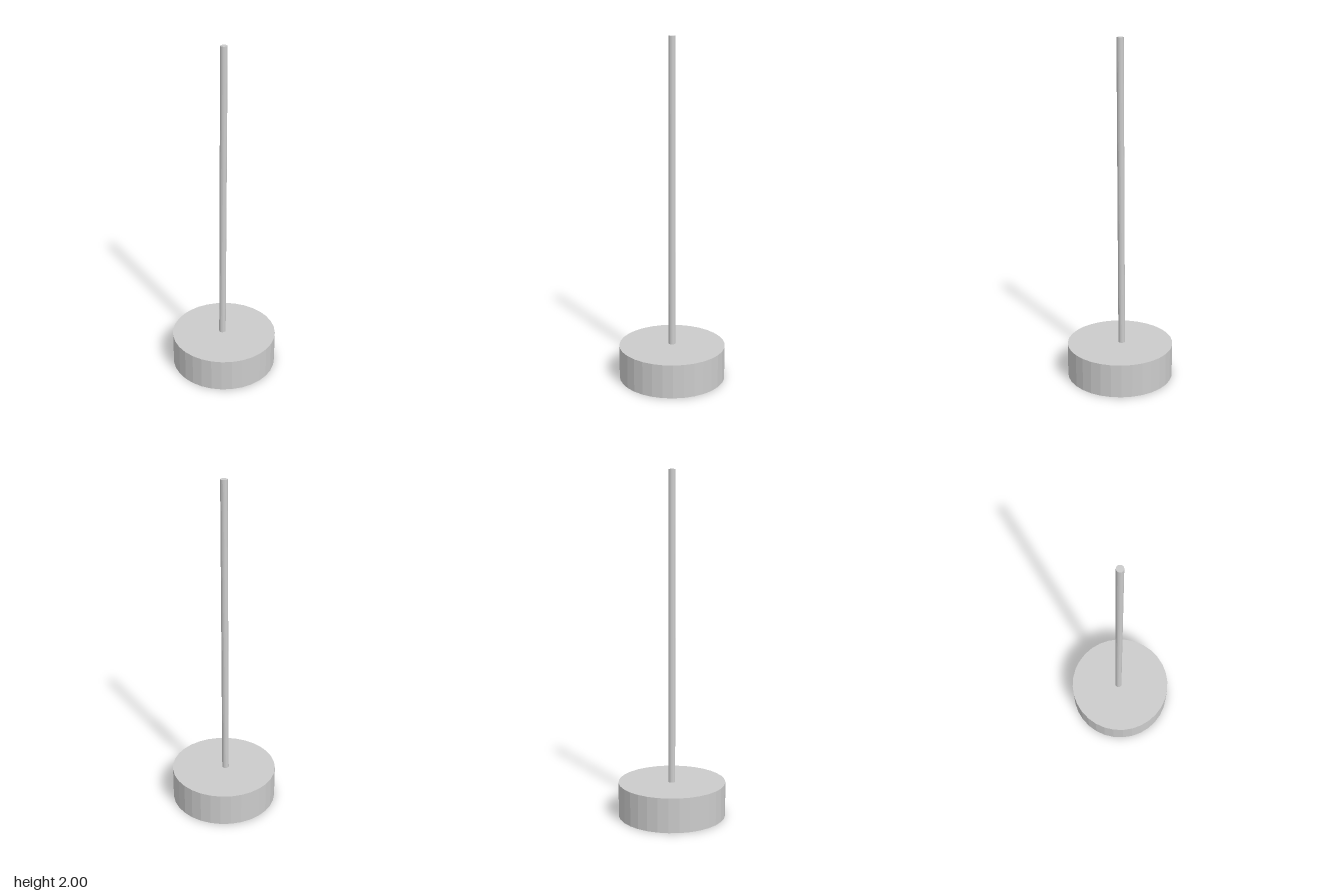
import * as THREE from 'three';

export function createModel() {
  const group = new THREE.Group();
  const material = new THREE.MeshStandardMaterial({ color: 0xcccccc, flatShading: true });
  const baseHeight = 0.2;
  const baseRadius = 0.314;
  const rodRadius = 0.02;
  const top = 2;
  const lean = 0.011; // sideways shift of the rod's foot

  // Heavy round base
  const base = new THREE.Mesh(
    new THREE.CylinderGeometry(baseRadius, baseRadius, baseHeight, 32), material);
  base.name = 'base';
  base.position.y = baseHeight / 2;
  group.add(base);

  // Slender rod, leaning very slightly
  const rodHeight = top - baseHeight;
  const rodGeometry = new THREE.CylinderGeometry(rodRadius, rodRadius, rodHeight, 32);
  rodGeometry.applyMatrix4(new THREE.Matrix4().makeShear(0, 0, lean / rodHeight, 0, 0, 0));
  const pos = rodGeometry.attributes.position;
  // Keep the rod upright in z and level at both ends, whatever the shear order
  for (let i = 0; i < pos.count; i++) {
    const source = new THREE.Vector3().fromBufferAttribute(pos, i);
    const y = Math.sign(source.y) * rodHeight / 2;
    pos.setY(i, y);
  }
  rodGeometry.computeVertexNormals();
  const rod = new THREE.Mesh(rodGeometry, material);
  rod.name = 'rod';
  rod.position.set(-lean / 2, baseHeight + rodHeight / 2, 0);
  group.add(rod);

  return group;
}
